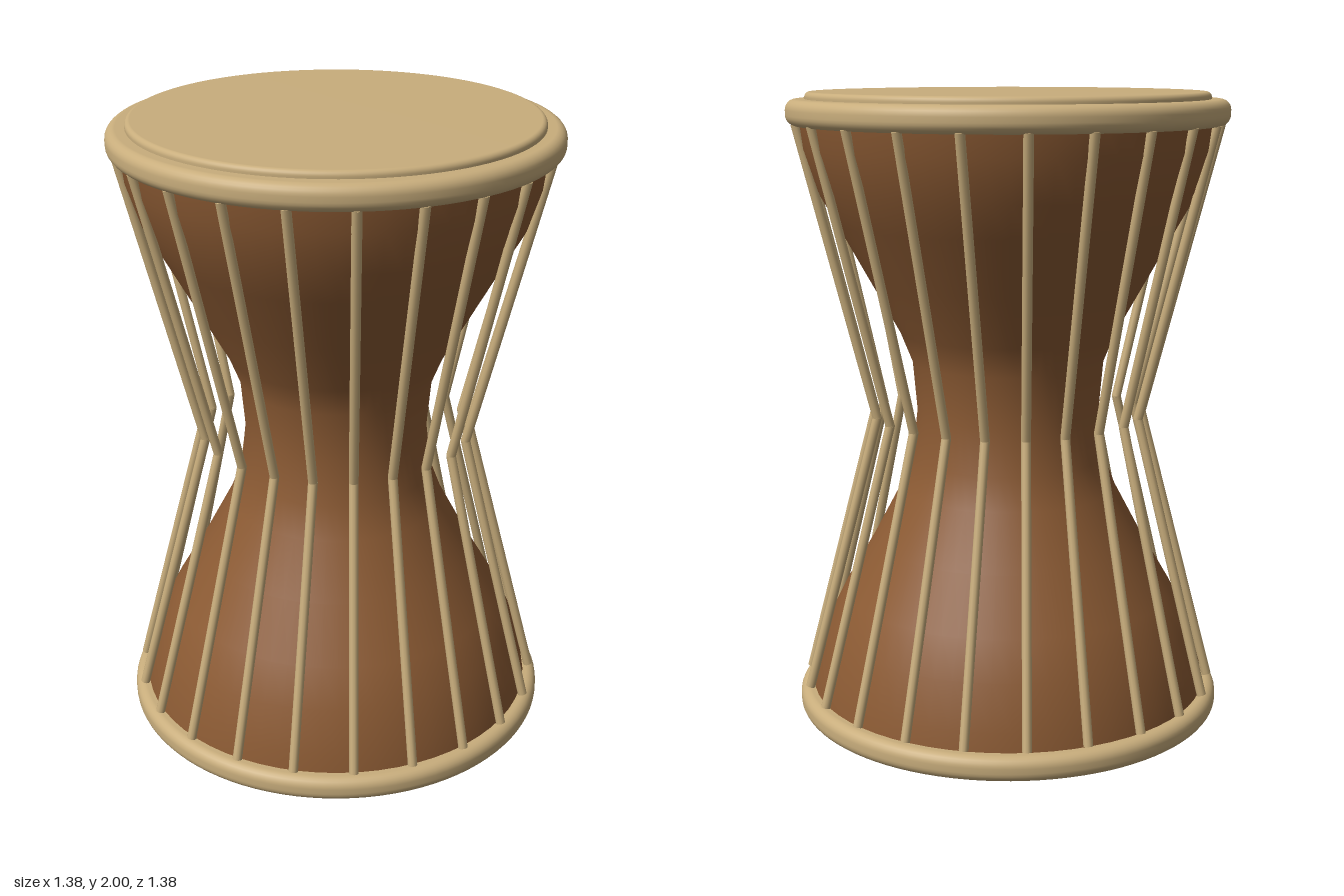
import * as THREE from 'three';

const V = (x, y) => new THREE.Vector2(x, y);

// Solid disc with rounded outer corners, standing on y = 0
function roundedDisc(radius, height, corner) {
  const pts = [V(0, 0)];
  const steps = 6;
  for (let i = 0; i <= steps; i++) {
    const a = -Math.PI / 2 + (i / steps) * Math.PI / 2;
    pts.push(V(radius - corner + corner * Math.cos(a), corner + corner * Math.sin(a)));
  }
  for (let i = 0; i <= steps; i++) {
    const a = (i / steps) * Math.PI / 2;
    pts.push(V(radius - corner + corner * Math.cos(a), height - corner + corner * Math.sin(a)));
  }
  pts.push(V(0, height));
  return new THREE.LatheGeometry(pts, 96);
}

// Straight cord between two points
function cordSegment(a, b, radius, material) {
  const dir = b.clone().sub(a);
  const mesh = new THREE.Mesh(new THREE.CylinderGeometry(radius, radius, dir.length(), 10), material);
  mesh.position.copy(a).add(b).multiplyScalar(0.5);
  mesh.quaternion.setFromUnitVectors(new THREE.Vector3(0, 1, 0), dir.normalize());
  return mesh;
}

export function createModel() {
  const model = new THREE.Group();
  model.name = 'drum';
  const wood = new THREE.MeshStandardMaterial({ color: 0x8b5a33 });
  wood.name = 'brown wood';
  const hide = new THREE.MeshStandardMaterial({ color: 0xc8ad7c });
  hide.name = 'tan hide';

  const add = (name, geometry, material, y = 0) => {
    const mesh = new THREE.Mesh(geometry, material);
    mesh.name = name;
    mesh.position.y = y;
    model.add(mesh);
  };

  // Hourglass body, from the bottom rim up
  const profile = [
    [0.65, 0.05], [0.636, 0.14], [0.597, 0.28], [0.54, 0.395], [0.44, 0.565], [0.35, 0.735],
    [0.31, 0.84], [0.293, 0.99], [0.307, 1.15],
    [0.345, 1.245], [0.44, 1.415], [0.54, 1.595], [0.6, 1.7], [0.643, 1.83], [0.655, 1.93],
  ].map(([r, y]) => V(r, y));
  add('body', new THREE.LatheGeometry(profile, 64), wood);

  // Rims and the raised playing skin
  add('bottomRim', roundedDisc(0.69, 0.08, 0.032), hide);
  add('topRim', roundedDisc(0.69, 0.08, 0.032), hide, 1.898);
  add('topSkin', roundedDisc(0.63, 0.04, 0.016), hide, 1.96);

  // Tension cords, pinched in and slightly twisted at the waist
  const cords = new THREE.Group();
  cords.name = 'tensionCords';
  const count = 22;
  const twist = 0.04;
  const at = (angle, r, y) => new THREE.Vector3(r * Math.sin(angle), y, r * Math.cos(angle));
  for (let i = 0; i < count; i++) {
    const angle = Math.PI / 2 + (i / count) * Math.PI * 2;
    const waist = at(angle + twist, 0.431, 0.982);
    const cord = new THREE.Group();
    cord.name = 'cord' + (i + 1);
    cord.add(cordSegment(at(angle, 0.663, 0.09), waist, 0.015, hide));
    cord.add(cordSegment(waist, at(angle, 0.663, 1.905), 0.015, hide));
    const bend = new THREE.Mesh(new THREE.SphereGeometry(0.015, 10, 8), hide);
    bend.position.copy(waist);
    cord.add(bend);
    cord.children.forEach((m, k) => { m.name = ['lowerCord', 'upperCord', 'cordBend'][k]; });
    cords.add(cord);
  }
  model.add(cords);
  return model;
}
